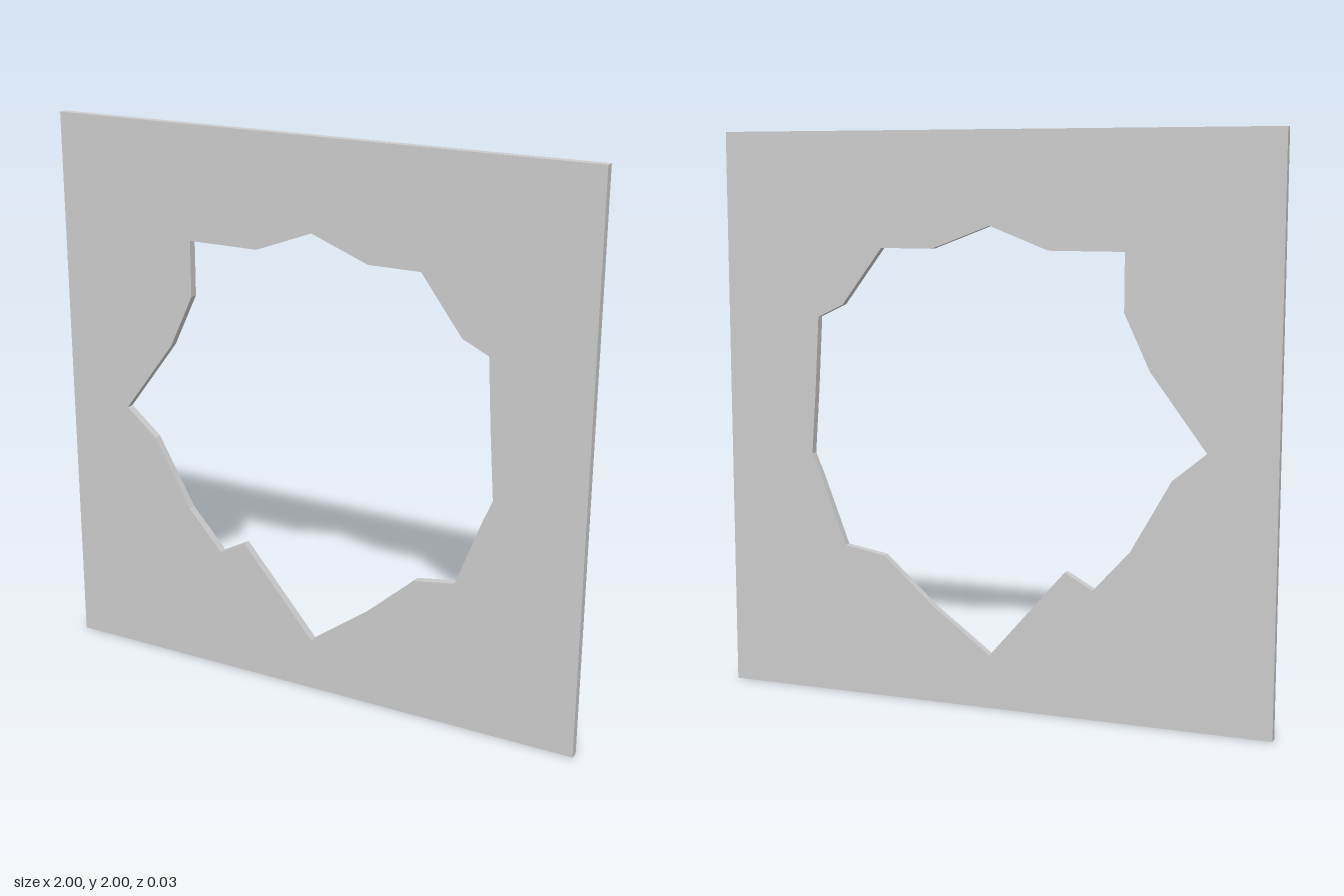
import * as THREE from 'three';

const THICKNESS = 0.03;

// Jagged outline of the opening, clockwise from the top point
const HOLE = [
  [0, 1.68], [0.21, 1.6], [0.4, 1.6], [0.55, 1.4], [0.645, 1.355],
  [0.66, 1.1], [0.677, 0.865], [0.645, 0.79], [0.55, 0.54], [0.4, 0.515],
  [0.21, 0.345], [0, 0.19], [-0.275, 0.51], [-0.375, 0.455], [-0.505, 0.6],
  [-0.645, 0.85], [-0.762, 0.948], [-0.565, 1.21], [-0.475, 1.4],
  [-0.475, 1.6], [-0.21, 1.6],
];

const toPoints = (list) => list.map(([x, y]) => new THREE.Vector2(x, y));

export function createModel() {
  const group = new THREE.Group();
  group.name = 'brokenWall';

  // Square panel with the opening cut through it
  const shape = new THREE.Shape(toPoints([[-1, 0], [1, 0], [1, 2], [-1, 2]]));
  shape.holes.push(new THREE.Path(toPoints(HOLE)));
  const geometry = new THREE.ExtrudeGeometry(shape, { depth: THICKNESS, bevelEnabled: false });
  geometry.translate(0, 0, -THICKNESS / 2);

  const panel = new THREE.Mesh(
    geometry,
    new THREE.MeshStandardMaterial({ color: 0xcccccc, flatShading: true })
  );
  panel.name = 'wallPanel';
  group.add(panel);
  return group;
}
